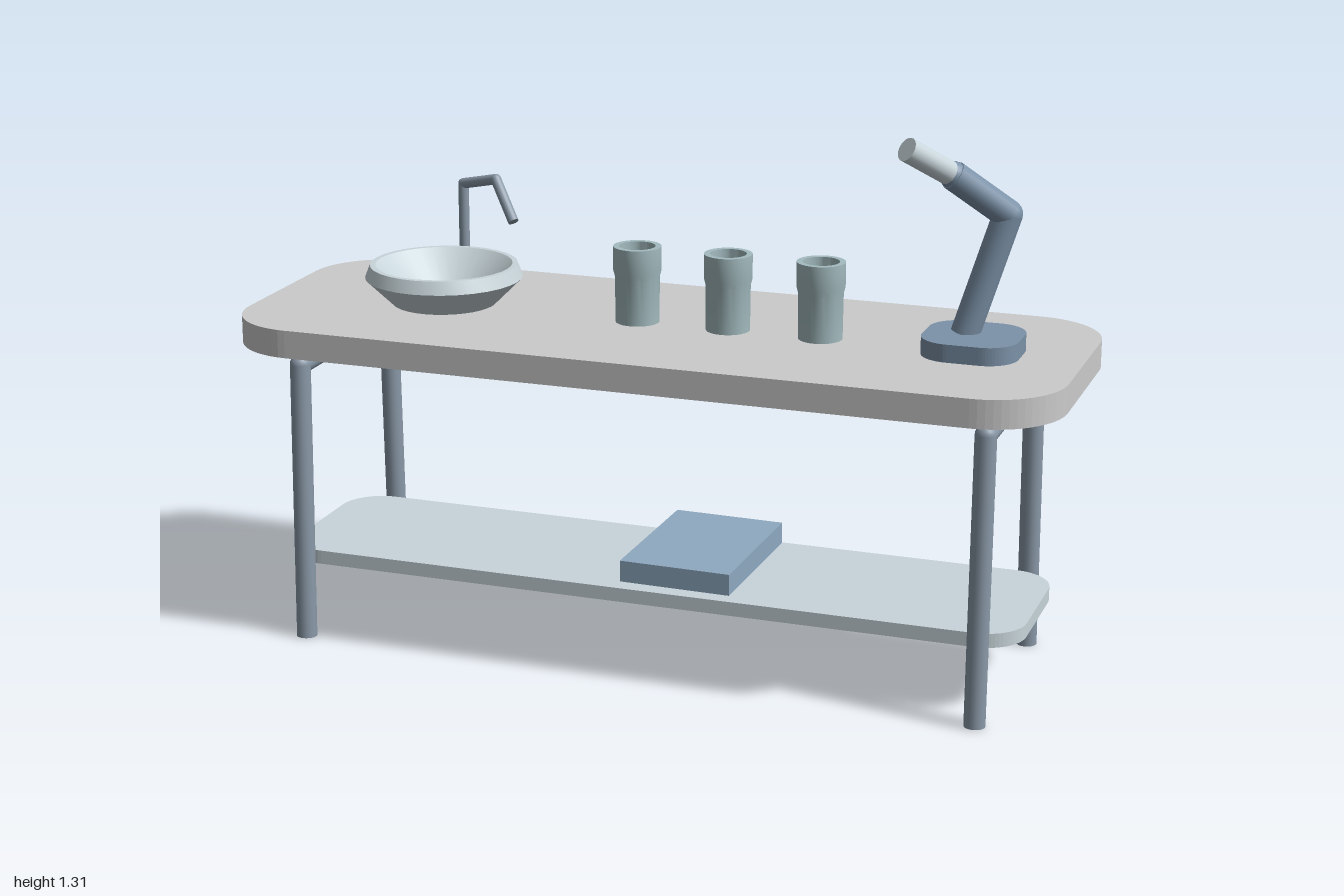
import * as THREE from 'three';
import { toCreasedNormals } from 'three/addons/utils/BufferGeometryUtils.js';

const paint = (color) => new THREE.MeshStandardMaterial({ color });
const grey = paint(0xcccccc);
const pale = paint(0xc8d5da);
const steel = paint(0x8a99a8);
const glass = paint(0xa4bcc0);
const blue = paint(0x8fa9c0);
const dark = paint(0x7c92a8);

function add(parent, name, geometry, material, x = 0, y = 0, z = 0) {
  const mesh = new THREE.Mesh(geometry, material);
  mesh.name = name;
  mesh.position.set(x, y, z);
  parent.add(mesh);
  return mesh;
}

function group(parent, name) {
  const g = new THREE.Group();
  g.name = name;
  parent.add(g);
  return g;
}

// Flat board with rounded plan corners, bottom face at y = 0
function board(w, d, h, r) {
  const x = w / 2, y = d / 2;
  const s = new THREE.Shape();
  s.moveTo(r - x, -y);
  s.lineTo(x - r, -y);
  s.absarc(x - r, r - y, r, -Math.PI / 2, 0);
  s.lineTo(x, y - r);
  s.absarc(x - r, y - r, r, 0, Math.PI / 2);
  s.lineTo(r - x, y);
  s.absarc(r - x, y - r, r, Math.PI / 2, Math.PI);
  s.lineTo(-x, r - y);
  s.absarc(r - x, r - y, r, Math.PI, Math.PI * 1.5);
  const geo = new THREE.ExtrudeGeometry(s, { depth: h, bevelEnabled: false, curveSegments: 8 });
  return geo.rotateX(-Math.PI / 2);
}

// Round bar between two points
function bar(parent, name, a, b, r, material) {
  const p = new THREE.Vector3(...a), q = new THREE.Vector3(...b);
  const dir = q.clone().sub(p);
  const mesh = add(parent, name, new THREE.CylinderGeometry(r, r, dir.length(), 20), material);
  mesh.position.copy(p).add(q).multiplyScalar(0.5);
  mesh.quaternion.setFromUnitVectors(new THREE.Vector3(0, 1, 0), dir.normalize());
}

// Chain of bars with ball joints
function pipe(parent, name, points, r, material) {
  points.slice(1).forEach((p, i) => {
    bar(parent, name + 'Bar', points[i], p, r, material);
    if (i > 0) add(parent, name + 'Joint', new THREE.SphereGeometry(r, 20, 12), material, ...points[i]);
  });
}

function turned(profile) {
  const pts = profile.map(([r, y]) => new THREE.Vector2(r, y));
  return toCreasedNormals(new THREE.LatheGeometry(pts, 32), 0.4);
}

export function createModel() {
  const model = new THREE.Group();
  model.name = 'washTable';

  // Table
  add(model, 'tableTop', board(2, 0.715, 0.067, 0.18), grey, 0, 0.73, 0);
  add(model, 'lowerShelf', board(1.83, 0.432, 0.034, 0.1), pale, 0, 0.17, 0.002);
  for (const x of [-0.835, 0.835]) {
    const frame = group(model, 'legFrame');
    pipe(frame, 'leg', [[x, 0, 0.268], [x, 0.685, 0.25], [x, 0.685, -0.25], [x, 0, -0.268]], 0.025, steel);
  }

  // Flat box lying on the shelf
  const box = add(model, 'shelfBox', new THREE.BoxGeometry(0.273, 0.052, 0.39), blue, 0.095, 0.238, 0.002);
  box.rotation.y = -0.02;

  // Basin
  add(model, 'basin', turned([
    [0, 0], [0.125, 0], [0.19, 0.064], [0.178, 0.095], [0.165, 0.095], [0.085, 0.02], [0, 0.02],
  ]), pale, -0.56, 0.805, 0.015);

  // Tap
  pipe(group(model, 'tap'), 'tap',
    [[-0.605, 0.795, -0.215], [-0.605, 1.045, -0.215], [-0.5, 1.072, -0.172], [-0.437, 0.98, -0.128]], 0.013, steel);

  // Cups
  for (const x of [-0.07, 0.155, 0.38]) {
    add(model, 'cup', turned([
      [0, 0], [0.052, 0], [0.053, 0.11], [0.057, 0.125], [0.057, 0.183], [0.043, 0.183], [0.04, 0.02], [0, 0.02],
    ]), glass, x, 0.797, 0);
  }

  // Jointed arm with a pale head
  const arm = group(model, 'jointedArm');
  add(arm, 'armBase', board(0.225, 0.217, 0.042, 0.075), dark, 0.742, 0.798, -0.002);
  const elbow = [0.8, 1.112, -0.054], wrist = [0.69, 1.21, 0.025];
  pipe(arm, 'arm', [[0.718, 0.835, -0.018], elbow, wrist], 0.034, dark);
  add(arm, 'wristJoint', new THREE.SphereGeometry(0.032, 20, 12), dark, ...wrist);
  bar(arm, 'armHead', wrist, [0.607, 1.282, 0.122], 0.028, pale);

  return model;
}
